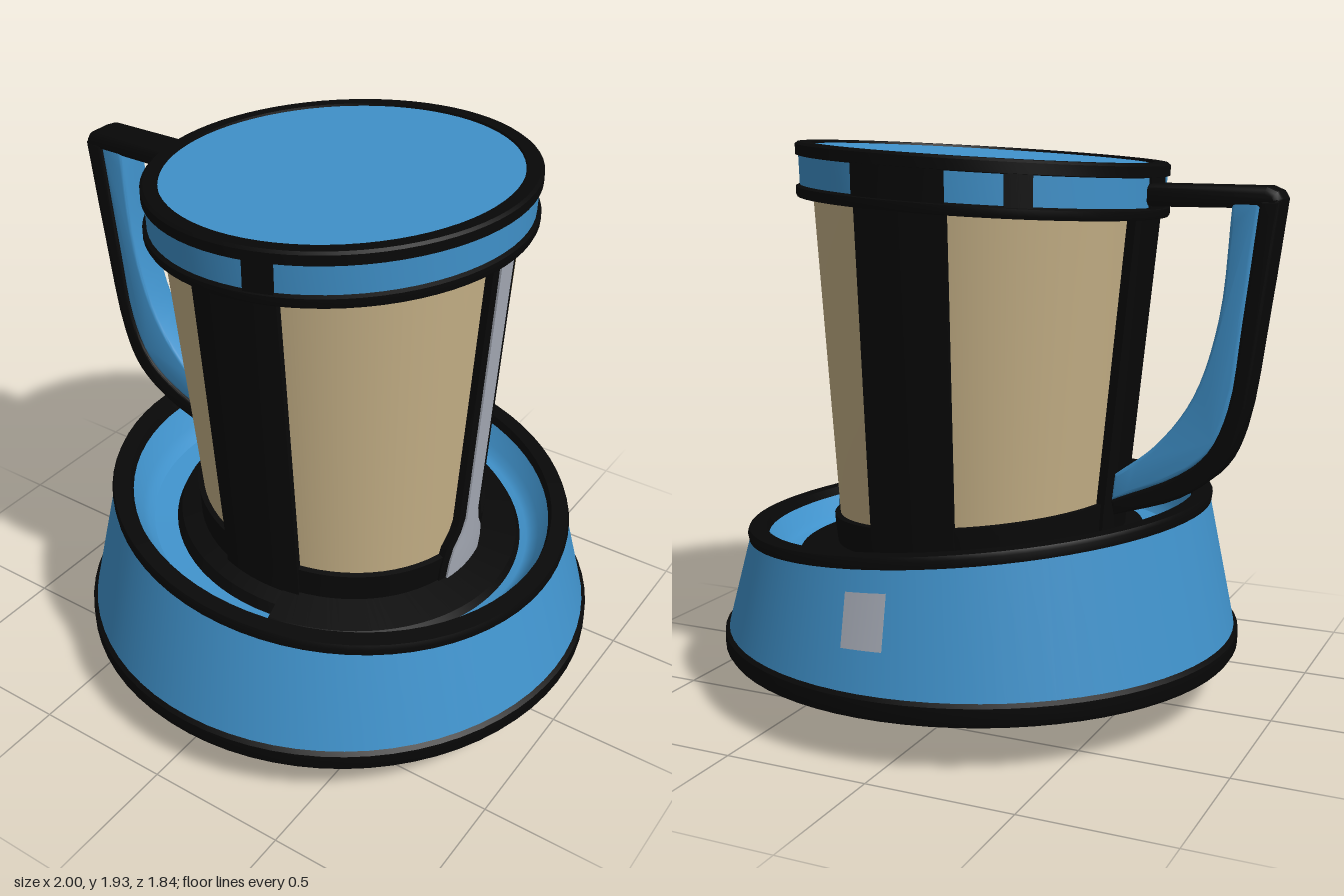
import * as THREE from 'three';
import { toCreasedNormals } from 'three/addons/utils/BufferGeometryUtils.js';

const flat = (name, color) => {
  const m = new THREE.MeshStandardMaterial({ color });
  m.name = name;
  return m;
};

export function createModel() {
  const black = flat('black trim', 0x080808);
  const blue = flat('blue shell', 0x4092cb);
  const tan = flat('tan glass', 0xc6b187);
  const grey = flat('grey metal', 0xa6abb6);

  const lantern = new THREE.Group();
  lantern.name = 'lantern';
  const add = (name, geometry, material) => {
    const mesh = new THREE.Mesh(geometry, material);
    mesh.name = name;
    lantern.add(mesh);
  };

  // Crooked stance: level base, rim dipping to +x, lid rising to +x
  const { mapLinear, clamp } = THREE.MathUtils;
  const slopeAt = (y) => {
    if (y < 0.24) return 0;
    if (y < 0.64) return mapLinear(y, 0.24, 0.64, 0, -0.1);
    return mapLinear(Math.min(y, 1.73), 0.64, 1.73, -0.1, 0.063);
  };
  const lean = (geometry) => {
    const p = geometry.attributes.position;
    for (let i = 0; i < p.count; i++) {
      const x = p.getX(i), y = p.getY(i);
      const up = clamp((y - 0.64) / 1.09, 0, 1);
      const cx = y < 0.16 ? 0.057 : 0.077 - 0.015 * up;
      const cz = y < 0.16 ? -0.015 : -0.014 * clamp((y - 0.24) / 0.4, 0, 1);
      p.setXYZ(i, x + cx, y + slopeAt(y) * x, p.getZ(i) + cz);
    }
    return toCreasedNormals(geometry, 0.6);
  };

  // Round part from a [radius, height] profile, outside running upwards
  const round = (name, profile, material, start = 0, sweep = Math.PI * 2) => {
    const points = profile.map(([r, y]) => new THREE.Vector2(r, y));
    add(name, lean(new THREE.LatheGeometry(points, 72, start, sweep)), material);
  };

  // Curved plate around the axis; rows are [height, radius, half width]
  const plate = (name, angle, rows, depth, material) => {
    const n = 8, w = n + 3, pos = [], index = [];
    rows.forEach(([y, r, half], i) => {
      for (let j = 0; j < w; j++) {
        const t = clamp((j - 1) / n, 0, 1) * 2 - 1;
        const a = angle + (t * half) / r;
        const rr = j === 0 || j === w - 1 ? r - depth : r;
        pos.push(rr * Math.sin(a), y, rr * Math.cos(a));
        if (i && j) {
          const d = i * w + j, c = d - 1, b = d - w, e = b - 1;
          index.push(e, b, d, e, d, c);
        }
      }
    });
    const g = new THREE.BufferGeometry();
    g.setAttribute('position', new THREE.Float32BufferAttribute(pos, 3));
    g.setIndex(index);
    add(name, lean(g), material);
  };

  // Foot and underside
  round('foot', [[0, 0], [0.335, 0], [0.347, 0.015], [0.347, 0.06], [0, 0.06]], black);
  round('undersideBowl', [[0.3, 0.052], [0.47, 0.06], [0.56, 0.09], [0.652, 0.135], [0.6, 0.18]], blue);
  round('baseRing', [[0.55, 0.165], [0.91, 0.165], [0.92, 0.18], [0.92, 0.23], [0.9, 0.245]], black);

  // Base shell with its open dish
  round('baseShell', [[0.907, 0.235], [0.815, 0.63]], blue);
  round('baseRim', [[0.8, 0.62], [0.82, 0.62], [0.824, 0.645], [0.818, 0.66], [0.76, 0.66], [0.75, 0.63]], black);
  round('dish', [[0.765, 0.645], [0.72, 0.56], [0.7, 0.535], [0.68, 0.52], [0.5, 0.51]], blue);
  round('dishCollar', [[0.6, 0.51], [0.58, 0.55], [0.48, 0.57]], black);
  round('dishCollarWide', [[0.66, 0.51], [0.64, 0.545], [0.48, 0.572]], black, 0.2, Math.PI - 0.1);
  plate('basePatch', Math.PI, [[0.375, 0.878, 0.072], [0.55, 0.837, 0.072]], 0.006, grey);

  // Tapered glass recessed behind black uprights
  const glassR = (y) => 0.582 + (y - 1.72) * 0.08;
  round('glass', [0.52, 0.64, 1.735].map((y) => [glassR(y), y]), tan);
  round('glassFooting', [0.52, 0.64, 0.672, 0.675].map((y, i) => [glassR(y) + (i < 3 ? 0.02 : -0.01), y]), black);
  const upright = (name, angle, half, out, material) =>
    plate(name, angle, half.map(([y, h]) => [y, glassR(y) + out, h]), 0.045, material);
  const straight = (h) => [[0.52, h * 0.95], [0.64, h * 0.95], [1.735, h]];
  upright('frontUpright', 0.02, straight(0.158), 0.032, black);
  upright('backUpright', Math.PI - 0.02, straight(0.165), 0.032, black);
  upright('handleUpright', -Math.PI / 2, straight(0.125), 0.032, black);
  const side = Math.PI / 2;
  const flare = [[0.53, 0.14], [0.64, 0.14], [0.7, 0.125], [0.75, 0.09], [0.79, 0.075], [1.735, 0.072]];
  upright('sideUpright', side, flare, 0.026, black);
  const inlay = [[0.53, 0.108], [0.64, 0.105], [0.69, 0.09], [0.74, 0.055], [0.79, 0.038], [1.735, 0.038]];
  upright('sideInlay', side, inlay, 0.033, grey);

  // Lid
  round('lidLowerRing', [[0.5, 1.71], [0.635, 1.71], [0.64, 1.72], [0.64, 1.742], [0.62, 1.752]], black);
  round('lidBand', [[0.626, 1.74], [0.63, 1.86]], blue);
  round('lidUpperRing', [[0.62, 1.842], [0.64, 1.848], [0.64, 1.882], [0.63, 1.89], [0.585, 1.89], [0.58, 1.87]], black);
  round('lidTop', [[0.59, 1.882], [0, 1.882]], blue);
  const gap = (name, angle, half) =>
    plate(name, angle, [[1.735, 0.634, half], [1.855, 0.637, half]], 0.009, black);
  gap('frontLidGap', 0.2, 0.05);
  gap('backLidGap', Math.PI - 0.01, 0.165);
  gap('cornerLidGap', Math.PI + 0.61, 0.045);
  gap('handleLidGap', -Math.PI / 2, 0.07);

  // Handle: blue grip, black outer spine and rounded black top bar
  const curve = (pts) =>
    new THREE.CatmullRomCurve3(pts.map(([x, y]) => new THREE.Vector3(x, y, 0)))
      .getPoints(20).map((v) => new THREE.Vector2(v.x, v.y));
  const slab = (name, points, width, bevel, material) => {
    const g = new THREE.ExtrudeGeometry(new THREE.Shape(points), {
      depth: width - 2 * bevel, bevelEnabled: true, bevelSize: bevel,
      bevelThickness: bevel, bevelOffset: -bevel, bevelSegments: 3,
    });
    g.translate(0, 0, -0.032 - width / 2 + bevel);
    add(name, toCreasedNormals(g, 0.6), material);
  };
  const outer = curve([[-0.995, 1.74], [-0.95, 1.4], [-0.885, 1.0], [-0.82, 0.86], [-0.69, 0.76], [-0.46, 0.68]]);
  const middle = curve([[-0.93, 1.74], [-0.885, 1.36], [-0.845, 1.07], [-0.78, 0.92], [-0.68, 0.835], [-0.45, 0.73]]);
  const inner = curve([[-0.84, 1.74], [-0.805, 1.36], [-0.725, 1.1], [-0.6, 0.93], [-0.46, 0.82]]);
  slab('handleGrip', [...middle, ...inner.reverse()], 0.124, 0.012, blue);
  slab('handleSpine', [...outer, ...middle.slice().reverse()], 0.134, 0.01, black);
  const bar = [[-0.995, 1.715], [-1, 1.745], [-0.985, 1.77], [-0.95, 1.785], [-0.54, 1.79], [-0.54, 1.715]];
  slab('handleBar', bar.map(([x, y]) => new THREE.Vector2(x, y)), 0.134, 0.026, black);

  return lantern;
}
